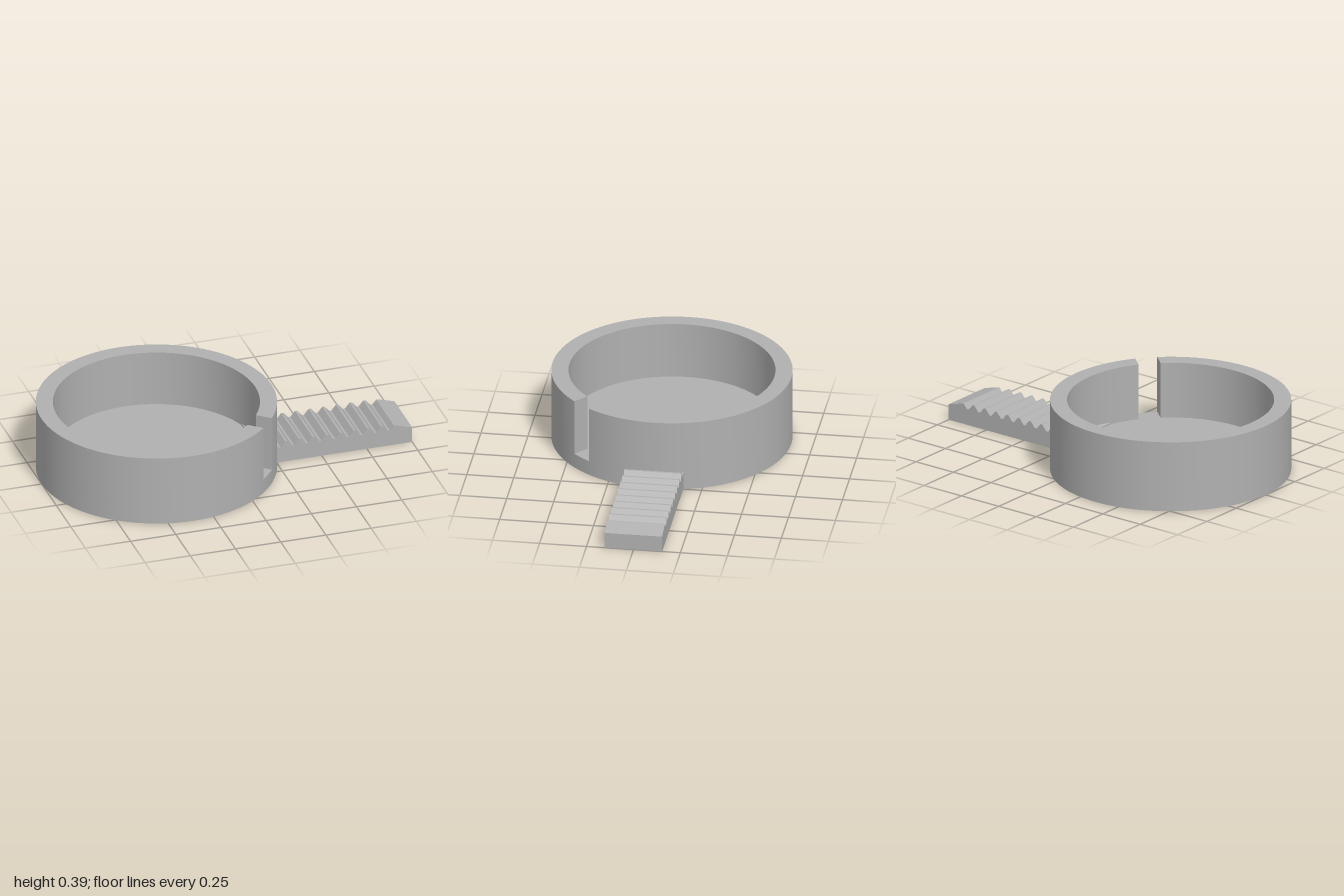
import * as THREE from 'three';
import { toCreasedNormals } from 'three/addons/utils/BufferGeometryUtils.js';

const CX = -0.365, R_OUT = 0.635, R_IN = 0.545, H = 0.388, FLOOR = 0.08;
const HALF_SLOT = 0.059, SLOT_ANGLE = -0.7;

export function createModel() {
  const group = new THREE.Group();
  const grey = new THREE.MeshStandardMaterial({ color: 0xb0b0b0 });
  grey.name = 'plain grey';

  const add = (geometry, name, x = 0, y = 0, z = 0) => {
    const mesh = new THREE.Mesh(geometry, grey);
    mesh.name = name;
    mesh.position.set(x, y, z);
    group.add(mesh);
    return mesh;
  };

  // Solid floor disc
  add(new THREE.CylinderGeometry(R_OUT, R_OUT, FLOOR, 96), 'cupFloor', CX, FLOOR / 2);

  // Ring wall, open at a parallel-sided slot
  const a = Math.asin(HALF_SLOT / R_OUT), b = Math.asin(HALF_SLOT / R_IN);
  const ring = new THREE.Shape();
  ring.absarc(0, 0, R_OUT, SLOT_ANGLE + a, SLOT_ANGLE + 2 * Math.PI - a, false);
  ring.absarc(0, 0, R_IN, SLOT_ANGLE + 2 * Math.PI - b, SLOT_ANGLE + b, true);
  ring.closePath();
  const wall = new THREE.ExtrudeGeometry(ring, { depth: H - FLOOR, bevelEnabled: false, curveSegments: 96 });
  wall.rotateX(-Math.PI / 2);
  add(toCreasedNormals(wall, 0.5), 'cupWall', CX, FLOOR);

  // Handle side profile: toothed top, optional shallow notches underneath
  const START = 0.157, PITCH = 0.0757, FLAT = 0.006;
  const handleProfile = (notched) => {
    const pts = [[START, 0]];
    if (notched) {
      for (let i = 0; i < 7; i++) {
        const x = 0.385 + i * 0.086;
        pts.push([x, 0], [x, 0.02], [x + 0.02, 0.02], [x + 0.02, 0]);
      }
    }
    pts.push([1, 0], [1, 0.087], [0.908, 0.113], [0.9, 0.113]);
    for (let i = 1; i <= 9; i++) {
      const peak = 0.91 - i * PITCH, valley = peak + PITCH / 2;
      pts.push([valley + FLAT, 0.088], [valley - FLAT, 0.088]);
      pts.push([peak + FLAT, 0.119], [peak - FLAT, 0.119]);
    }
    pts.push([START, 0.088]);
    return new THREE.Shape(pts.map(([x, y]) => new THREE.Vector2(x, y)));
  };

  // Handle in three strips so the notches stay within the middle one
  const strips = [
    ['handleBackStrip', -0.153, -0.04, false],
    ['handleMiddleStrip', -0.04, 0.065, true],
    ['handleFrontStrip', 0.065, 0.153, false],
  ];
  for (const [name, z0, z1, notched] of strips) {
    const geometry = new THREE.ExtrudeGeometry(handleProfile(notched), { depth: z1 - z0, bevelEnabled: false });
    add(geometry, name, 0, 0, z0);
  }

  return group;
}
